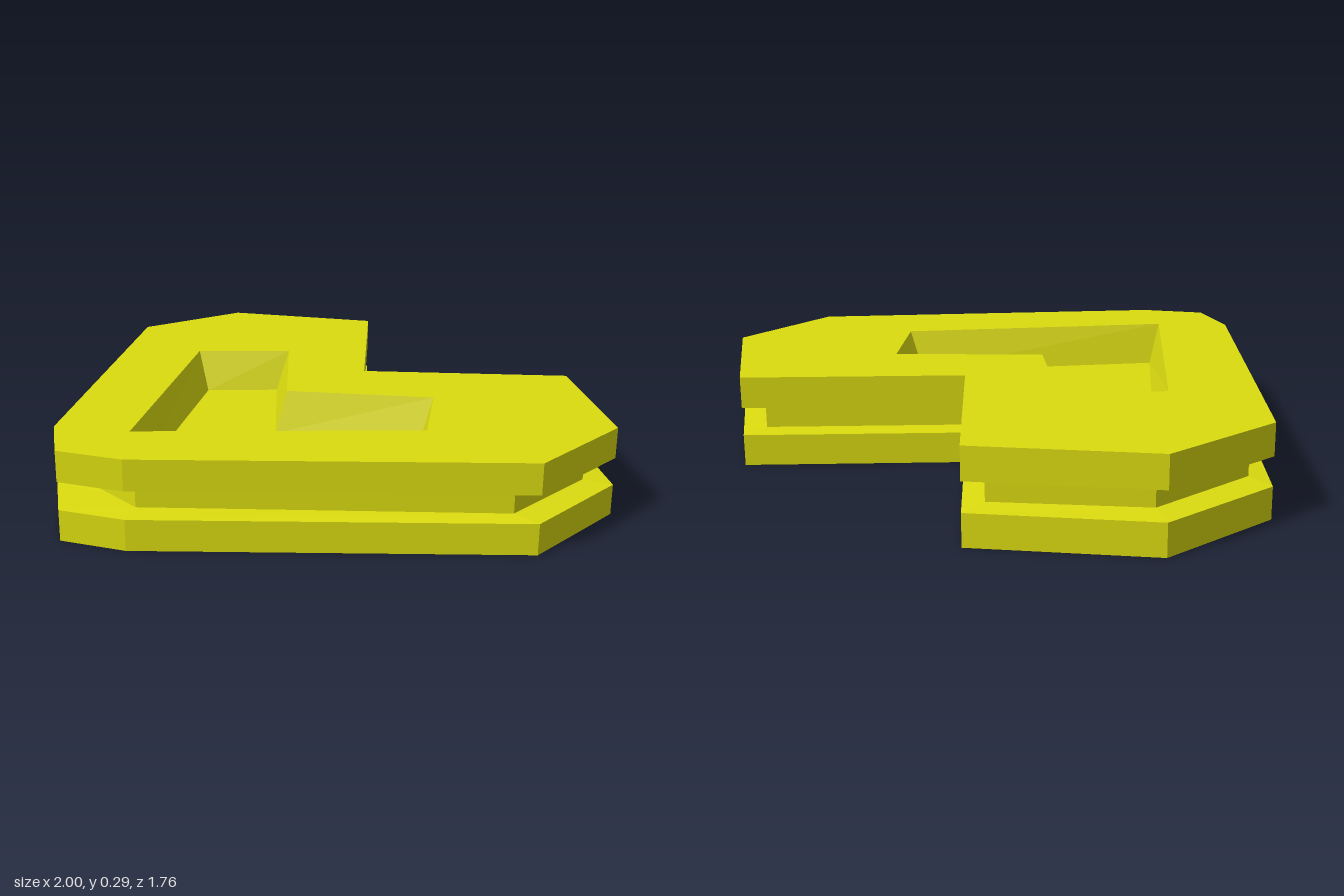
import * as THREE from 'three';

// Right halves of the heart outlines as [x, z], from the front tip round to the notch
const OUTER = [[0, 0.88], [0.19, 0.77], [1, -0.14], [0.95, -0.56], [0.5, -0.88], [0, -0.38]];
const CORE = [[0, 0.7], [0.145, 0.7], [0.91, -0.13], [0.87, -0.51], [0.5, -0.79], [0, -0.29]];
const RIM = [[0, 0.615], [0.585, -0.09], [0.37, -0.345], [0, -0.02]];
const FLOOR = [[0, 0.565], [0.53, -0.085], [0.37, -0.285], [0, 0.03]];

// Mirror a half outline into a closed loop
function mirror(half) {
  const left = half.slice(1, -1).reverse().map(([x, z]) => [-x, z]);
  return [...half, ...left];
}

// Walls joining a series of loops, each given as [half outline, height]
function walls(levels) {
  const pos = [];
  for (let k = 0; k < levels.length - 1; k++) {
    const [p, q] = [levels[k], levels[k + 1]].map(([half, y]) => mirror(half).map(([x, z]) => [x, y, z]));
    for (let i = 0; i < p.length; i++) {
      const j = (i + 1) % p.length;
      pos.push(...p[i], ...p[j], ...q[j], ...p[i], ...q[j], ...q[i]);
    }
  }
  const geo = new THREE.BufferGeometry();
  geo.setAttribute('position', new THREE.Float32BufferAttribute(pos, 3));
  geo.computeVertexNormals();
  return geo;
}

// Flat heart-shaped cap at a height, with an optional opening
function cap(half, y, hole, down = false) {
  const s = down ? -1 : 1;
  const points = (h) => mirror(h).map(([x, z]) => new THREE.Vector2(x, -z * s));
  const shape = new THREE.Shape(points(half));
  if (hole) shape.holes.push(new THREE.Path(points(hole)));
  return new THREE.ShapeGeometry(shape).rotateX(-s * Math.PI / 2).translate(0, y, 0);
}

export function createModel() {
  const yellow = new THREE.MeshStandardMaterial({ color: 0xdcdc10, flatShading: true });
  yellow.name = 'yellow';
  const model = new THREE.Group();
  model.name = 'heartPlate';
  const add = (name, geo) => {
    const mesh = new THREE.Mesh(geo, yellow);
    mesh.name = name;
    model.add(mesh);
  };

  // Two plates with a recessed core between them
  add('lowerPlateSides', walls([[OUTER, 0], [OUTER, 0.1]]));
  add('grooveAndCore', walls([[OUTER, 0.1], [CORE, 0.107], [CORE, 0.183], [OUTER, 0.19]]));
  add('upperPlateSides', walls([[OUTER, 0.19], [OUTER, 0.29]]));
  add('underside', cap(OUTER, 0, null, true));
  add('topFace', cap(OUTER, 0.29, RIM));

  // Heart-shaped recess with sloping walls
  add('recessWalls', walls([[RIM, 0.29], [FLOOR, 0.15]]));
  add('recessFloor', cap(FLOOR, 0.15));
  return model;
}
